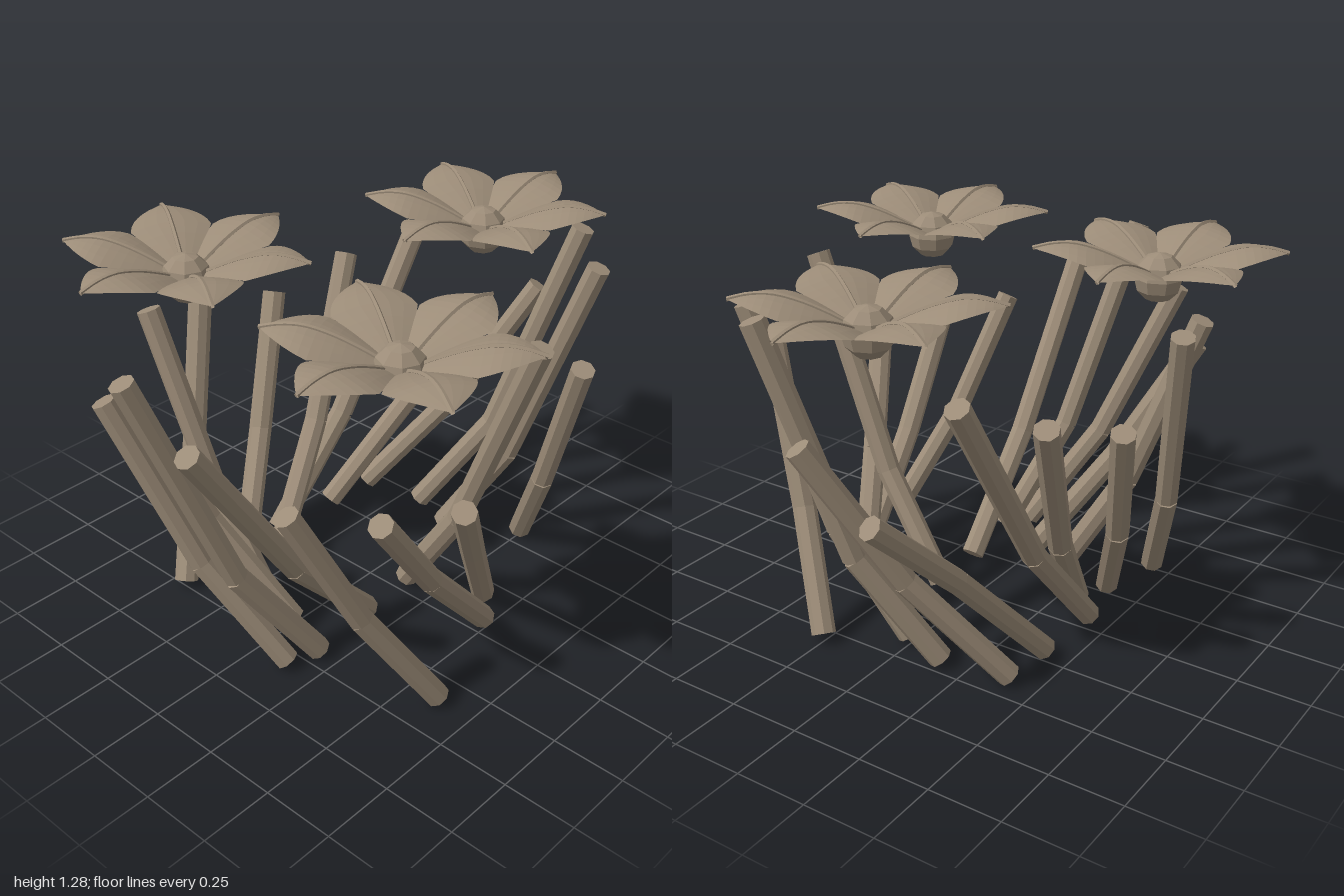
import * as THREE from 'three';

const UP = new THREE.Vector3(0, 1, 0);
const taupe = new THREE.MeshStandardMaterial({ color: 0x9c8c78, flatShading: true, side: THREE.DoubleSide });
taupe.name = 'taupe';

// Each stem: tip x, y, z; bend x, z (at y = 0.4); base x, z
const STEMS = [
  [0.85, 0.87, 0.06, 0.64, -0.16, 0.42, -0.40],
  [0.76, 1.19, 0.29, 0.61, 0.06, 0.46, -0.16],
  [0.58, 1.16, 0.48, 0.48, 0.23, 0.40, 0.01],
  [0.32, 0.94, 0.62, 0.42, 0.43, 0.56, 0.25],
  [0.01, 1.15, 0.67, 0.03, 0.37, 0.05, 0.13],
  [-0.30, 0.72, 0.65, -0.08, 0.52, 0.16, 0.39],
  [-0.57, 0.77, 0.56, -0.29, 0.52, 0.05, 0.48],
  [-0.78, 0.83, 0.39, -0.58, 0.49, -0.36, 0.62],
  [-0.93, 1.00, 0.16, -0.53, 0.16, -0.18, 0.15],
  [-0.95, 1.15, -0.08, -0.69, 0.06, -0.45, 0.18],
  [-0.86, 0.97, -0.30, -0.71, -0.08, -0.56, 0.14],
  [-0.68, 0.84, -0.47, -0.53, -0.24, -0.39, 0.00],
  [-0.43, 1.02, -0.60, -0.39, -0.37, -0.36, -0.15],
  [-0.12, 1.07, -0.68, -0.32, -0.56, -0.50, -0.43],
  [0.19, 0.85, -0.65, -0.01, -0.54, -0.27, -0.37],
  [0.47, 0.94, -0.55, 0.17, -0.43, -0.13, -0.33],
  [0.68, 1.04, -0.385, 0.28, -0.40, -0.05, -0.42],
  [0.84, 0.68, -0.19, 0.55, -0.29, 0.22, -0.41],
];

// Straight faceted rod between two points
function rod(a, b, name) {
  const dir = b.clone().sub(a);
  const mesh = new THREE.Mesh(new THREE.CylinderGeometry(0.041, 0.041, dir.length(), 8), taupe);
  mesh.position.copy(a).add(b).multiplyScalar(0.5);
  mesh.quaternion.setFromUnitVectors(UP, dir.normalize());
  mesh.name = name;
  return mesh;
}

function createStem([tx, ty, tz, mx, mz, bx, bz]) {
  const stem = new THREE.Group();
  stem.name = 'stem';
  const bend = new THREE.Vector3(mx, 0.4, mz);
  stem.add(rod(new THREE.Vector3(bx, 0.03, bz), bend, 'lowerStem'));
  stem.add(rod(bend, new THREE.Vector3(tx, ty, tz), 'upperStem'));
  return stem;
}

// Midrib curve of a petal, from the centre outwards
const midrib = new THREE.CatmullRomCurve3(
  [[0.04, 1.175], [0.12, 1.215], [0.2, 1.248], [0.28, 1.268], [0.35, 1.266], [0.415, 1.25]]
    .map(([r, y]) => new THREE.Vector3(r, y, 0)));

// Half width: full sixth of the circle, then a rounded run to the point
function halfWidth(r) {
  if (r < 0.235) return r * Math.tan(Math.PI / 6);
  const t = Math.min(1, (r - 0.235) / 0.18);
  return 0.1357 * (1 - t ** 1.7);
}

// Petal folded down on both sides of its midrib
function petalGeometry() {
  const geo = new THREE.PlaneGeometry(1, 2, 14, 6).rotateX(-Math.PI / 2);
  const pos = geo.attributes.position;
  for (let i = 0; i < pos.count; i++) {
    const p = midrib.getPoint(THREE.MathUtils.clamp(pos.getX(i) + 0.5, 0, 1));
    const v = pos.getZ(i);
    const w = halfWidth(p.x);
    pos.setXYZ(i, p.x, p.y - 0.2 * w * Math.abs(v) ** 1.5, v * w);
  }
  geo.computeVertexNormals();
  return geo;
}

function createFlower(x, z) {
  const flower = new THREE.Group();
  flower.name = 'flower';
  const petalGeo = petalGeometry();
  const ribGeo = new THREE.TubeGeometry(midrib, 14, 0.008, 5);
  for (let i = 0; i < 6; i++) {
    const petal = new THREE.Mesh(petalGeo, taupe);
    const rib = new THREE.Mesh(ribGeo, taupe);
    petal.name = 'petal';
    rib.name = 'petalRib';
    petal.rotation.y = rib.rotation.y = i * Math.PI / 3;
    flower.add(petal, rib);
  }
  // Faceted ball at the heart of the flower
  const bulb = new THREE.Mesh(new THREE.SphereGeometry(0.084, 8, 6), taupe);
  bulb.position.y = 1.16;
  bulb.name = 'bulb';
  flower.add(bulb);
  flower.position.set(x, 0, z);
  return flower;
}

export function createModel() {
  const model = new THREE.Group();
  model.name = 'flowerBasket';
  for (const s of STEMS) model.add(createStem(s));
  for (const [x, z] of [[-0.372, -0.46], [-0.372, 0.455], [0.578, 0]]) model.add(createFlower(x, z));
  return model;
}
